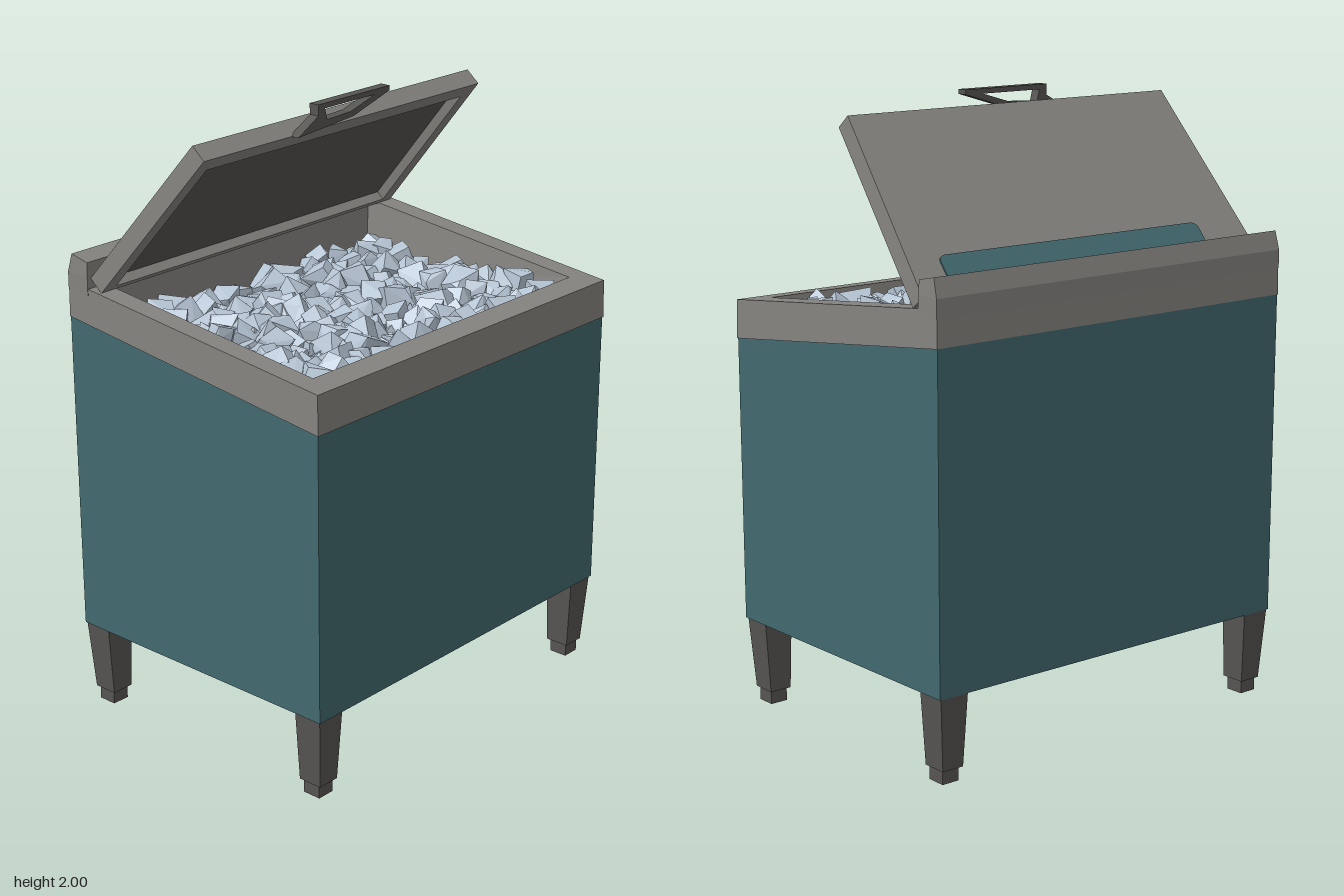
import * as THREE from 'three';
import { ConvexGeometry } from 'three/addons/geometries/ConvexGeometry.js';

const material = (name, color) => {
  const m = new THREE.MeshStandardMaterial({ color });
  m.name = name;
  return m;
};

// Skin between loops of points; loops run anticlockwise seen from the end side
function loft(loops, capStart, capEnd) {
  const pos = [];
  const tri = (...pts) => pts.forEach((p) => pos.push(...p));
  const n = loops[0].length;
  for (let k = 0; k + 1 < loops.length; k++) {
    const a = loops[k], b = loops[k + 1];
    for (let i = 0; i < n; i++) {
      const j = (i + 1) % n;
      tri(a[i], a[j], b[j]);
      tri(a[i], b[j], b[i]);
    }
  }
  const s = loops[0], e = loops[loops.length - 1];
  for (let i = 1; i + 1 < n; i++) {
    if (capStart) tri(s[0], s[i + 1], s[i]);
    if (capEnd) tri(e[0], e[i], e[i + 1]);
  }
  const g = new THREE.BufferGeometry();
  g.setAttribute('position', new THREE.Float32BufferAttribute(pos, 3));
  g.computeVertexNormals();
  return g;
}

// Horizontal rectangle whose height may depend on z
const rect = (x0, x1, z0, z1, y) => {
  const h = typeof y === 'function' ? y : () => y;
  return [[x0, h(z1), z1], [x1, h(z1), z1], [x1, h(z0), z0], [x0, h(z0), z0]];
};
const slope = (front, back) => (z) => front + (back - front) * (0.515 - z) / 1.03;

function seeded(seed) {
  return () => {
    seed = (seed * 1664525 + 1013904223) % 4294967296;
    return seed / 4294967296;
  };
}

export function createModel() {
  const grey = material('grey metal', 0x85837f);
  const teal = material('teal paint', 0x42696f);
  const dark = material('dark metal', 0x575552);
  const ice = material('ice', 0xb6c5d4);
  const model = new THREE.Group();
  model.name = 'iceChest';
  const add = (name, geometry, mat, parent = model) => {
    const mesh = new THREE.Mesh(geometry, mat);
    mesh.name = name;
    parent.add(mesh);
    return mesh;
  };

  // Body with a sloping top edge
  const bodyTop = slope(1.21, 1.335), rimTop = slope(1.335, 1.45);
  add('body', loft([
    rect(-0.687, 0.687, -0.512, 0.515, 0.28),
    rect(-0.69, 0.69, -0.515, 0.515, bodyTop),
  ], true, false), teal);

  // Rim, bevelled inwards around the opening
  add('rim', loft([
    rect(-0.68, 0.68, -0.51, 0.51, bodyTop),
    rect(-0.693, 0.693, -0.516, 0.518, bodyTop),
    rect(-0.691, 0.691, -0.515, 0.515, rimTop),
    rect(-0.617, 0.617, -0.43, 0.43, rimTop),
    rect(-0.587, 0.587, -0.415, 0.41, 1.18),
  ], false, false), grey);

  // Raised ridge behind the lid
  add('backRidge', loft([
    rect(-0.693, 0.693, -0.516, -0.43, 1.42),
    rect(-0.693, 0.693, -0.516, -0.43, 1.48),
    [[-0.69, 1.525, -0.432], [0.69, 1.525, -0.432], [0.69, 1.54, -0.5], [-0.69, 1.54, -0.5]],
  ], true, true), grey);

  // Tapered legs with small feet
  for (const sx of [-1, 1]) {
    for (const sz of [-1, 1]) {
      const box = (inX, outX, inZ, outZ, y) => rect(
        Math.min(sx * inX, sx * outX), Math.max(sx * inX, sx * outX),
        Math.min(sz * inZ, sz * outZ), Math.max(sz * inZ, sz * outZ), y);
      add('leg', loft([
        box(0.588, 0.665, 0.412, 0.495, 0.045),
        box(0.58, 0.682, 0.41, 0.51, 0.285),
      ], true, true), dark);
      add('foot', loft([
        box(0.597, 0.658, 0.422, 0.485, 0),
        box(0.597, 0.658, 0.422, 0.485, 0.05),
      ], true, true), dark);
    }
  }

  // Open lid: s runs up from the hinge, d runs through to the underside
  const lid = new THREE.Group();
  lid.name = 'lid';
  model.add(lid);
  const length = 0.624;
  const up = new THREE.Vector3(0, 0.761, 0.649);
  const through = new THREE.Vector3(0, -0.649, 0.761);
  const hinge = new THREE.Vector3(0, 1.48, -0.425);
  const lidLoop = (inset, s0, s1, d) => {
    const point = (side, s) => hinge.clone().addScaledVector(up, s).addScaledVector(through, d)
      .setX(side * (0.677 - 0.042 * s / length - inset)).toArray();
    return [point(-1, s0), point(1, s0), point(1, s1), point(-1, s1)];
  };
  const recess = lidLoop(0.055, 0.015, length - 0.06, 0.03);
  add('lidShell', loft([
    lidLoop(0, -0.01, length, 0),
    lidLoop(0, -0.01, length, 0.06),
    lidLoop(0.05, 0.01, length - 0.055, 0.06),
    recess,
  ], true, false), grey, lid);
  add('lidLining', loft([recess], false, true), dark, lid);

  // Painted strip on the outside of the lid, rounded at its upper corners
  const strip = new THREE.Shape();
  strip.moveTo(-0.48, -0.01).lineTo(0.56, -0.01).lineTo(0.56, 0.09);
  strip.quadraticCurveTo(0.56, 0.116, 0.53, 0.116).lineTo(-0.45, 0.116);
  strip.quadraticCurveTo(-0.48, 0.116, -0.48, 0.09);
  const stripMesh = add('lidStrip',
    new THREE.ExtrudeGeometry(strip, { depth: 0.005, bevelEnabled: false }), teal, lid);
  stripMesh.quaternion.setFromRotationMatrix(
    new THREE.Matrix4().makeBasis(new THREE.Vector3(1, 0, 0), up, through));
  stripMesh.position.copy(hinge).addScaledVector(through, -0.004);

  // Bent handle on the lid's free edge
  const v2 = (pts) => pts.map(([x, y]) => new THREE.Vector2(x, y));
  const handle = new THREE.Shape(v2([
    [-0.26, 1.915], [-0.01, 1.935], [0.16, 1.985], [0.16, 2], [-0.17, 2], [-0.17, 1.965]]));
  handle.holes.push(new THREE.Path(v2([
    [-0.14, 1.984], [0.09, 1.984], [-0.02, 1.952], [-0.13, 1.947]])));
  add('handle', new THREE.ExtrudeGeometry(handle, { depth: 0.035, bevelEnabled: false }), dark, lid)
    .position.z = 0.016;

  // Ice: a bed with rows of irregular chunks on top
  const random = seeded(7);
  const spread = (r) => (random() * 2 - 1) * r;
  const heap = new THREE.Group();
  heap.name = 'iceHeap';
  model.add(heap);
  add('iceBed', new THREE.BoxGeometry(1.18, 0.06, 0.83), ice, heap).position.set(0, 1.215, 0);

  const chunks = Array.from({ length: 10 }, () => {
    const pts = [];
    for (const x of [-1, 1]) for (const y of [-1, 1]) for (const z of [-1, 1]) {
      pts.push(new THREE.Vector3(x + spread(0.35), y + spread(0.35), z + spread(0.35)));
    }
    for (let i = 0; i < 4; i++) {
      pts.push(new THREE.Vector3().randomDirectionFrom
        ? new THREE.Vector3()
        : new THREE.Vector3(spread(1), spread(1), spread(1)).normalize().multiplyScalar(1.4));
    }
    return new ConvexGeometry(pts);
  });
  const columns = 15, rows = 11;
  const place = (x, y, z, size) => {
    const chunk = add('iceChunk', chunks[Math.floor(random() * chunks.length)], ice, heap);
    chunk.position.set(x, y, z);
    chunk.rotation.set(spread(3), spread(3), spread(3));
    chunk.scale.setScalar(size);
  };
  for (let i = 0; i < columns; i++) {
    for (let j = 0; j < rows; j++) {
      const x = -0.535 + 1.07 * i / (columns - 1), z = -0.37 + 0.74 * j / (rows - 1);
      place(x + spread(0.02), 1.285 + spread(0.025), z + spread(0.02), 0.026 + random() * 0.016);
      place(x + spread(0.035), 1.255 + spread(0.01), z + spread(0.03), 0.018 + random() * 0.012);
    }
  }
  return model;
}
